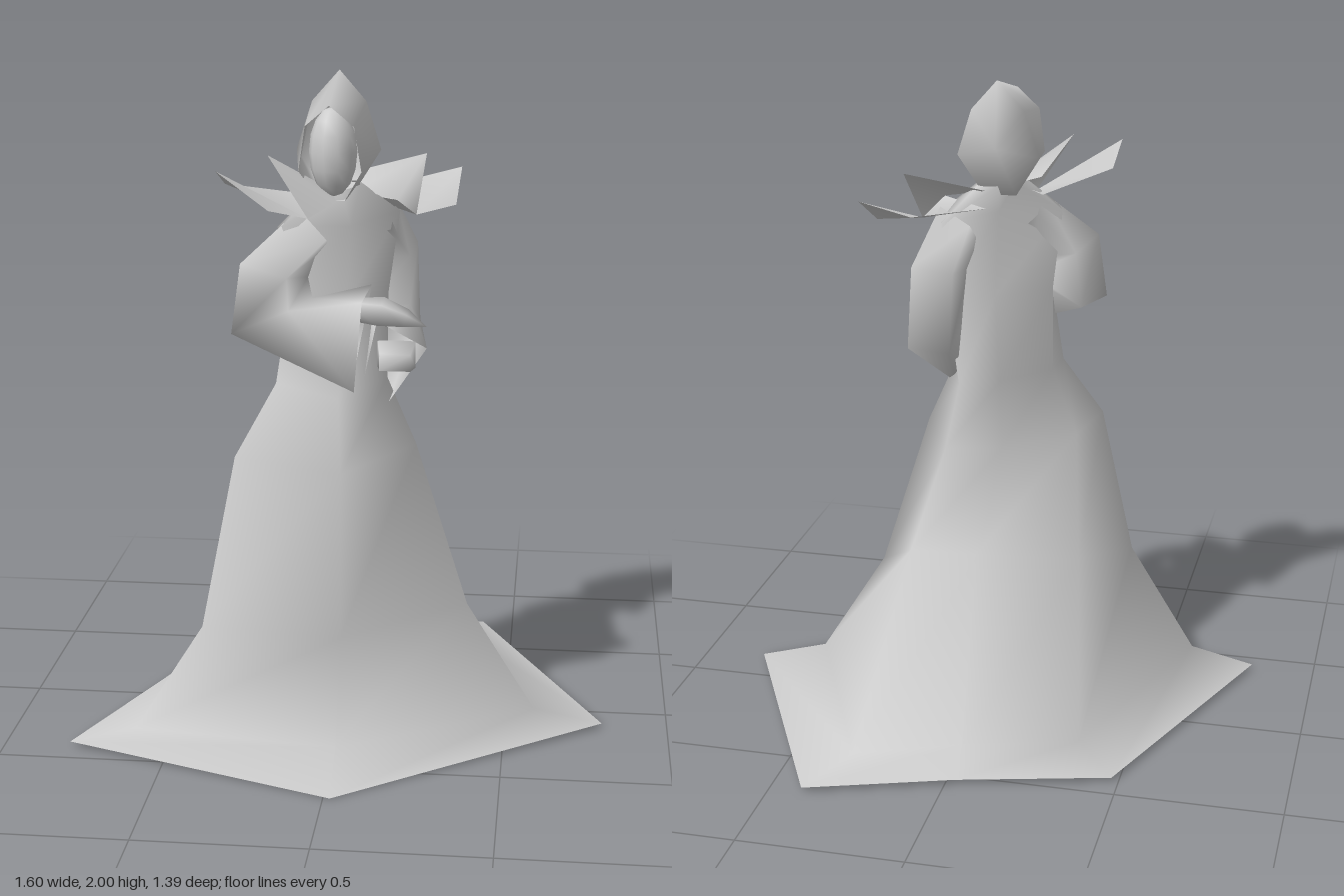
import * as THREE from 'three';

const material = new THREE.MeshStandardMaterial({ color: 0xcccccc, side: THREE.DoubleSide });
const V = (a) => new THREE.Vector3(...a);

// Smooth skin through closed rings of equal length; optional end point closes the last ring.
function loft(name, rings, tip) {
  const n = rings[0].length;
  const pos = rings.flat(2);
  const idx = [];
  for (let r = 0; r < rings.length - 1; r++) {
    for (let i = 0; i < n; i++) {
      const a = r * n + i, b = r * n + (i + 1) % n;
      idx.push(a, b, b + n, a, b + n, a + n);
    }
  }
  if (tip) {
    const last = (rings.length - 1) * n;
    pos.push(...tip);
    for (let i = 0; i < n; i++) idx.push(last + i, last + (i + 1) % n, rings.length * n);
  }
  return solid(name, pos, idx);
}

function solid(name, pos, idx) {
  const g = new THREE.BufferGeometry();
  g.setAttribute('position', new THREE.Float32BufferAttribute(pos, 3));
  g.setIndex(idx);
  g.computeVertexNormals();
  const mesh = new THREE.Mesh(g, material);
  mesh.name = name;
  return mesh;
}

// Four-cornered ring around a centre, square to dir, with side axis u.
function boxRing([c, dir, hu, hv], side) {
  const d = V(dir).normalize();
  const v = d.clone().cross(V(side)).normalize();
  const u = v.clone().cross(d);
  return [[1, 1], [-1, 1], [-1, -1], [1, -1]].map(([a, b]) =>
    V(c).addScaledVector(u, a * hu).addScaledVector(v, b * hv).toArray());
}

// Sections are box rings, or given directly by their corners.
const tube = (name, side, sections, tip) =>
  loft(name, sections.map((s) => s.corners ?? boxRing(s, side)), tip);

export function createModel() {
  const model = new THREE.Group();
  model.name = 'robedFigure';

  // Gown: six columns from the spread hem up to the neck
  model.add(loft('gown', [
    [[-.8, .015, .42], [.02, 0, .69], [.8, .015, .12], [.4, .015, -.7], [-.03, .015, -.55], [-.48, .015, -.43]],
    [[-.6, .065, .41], [.01, .05, .45], [.59, .065, .14], [.285, .065, -.55], [-.02, .065, -.42], [-.36, .065, -.32]],
    [[-.39, .4, .41], [.02, .38, .41], [.38, .4, .14], [.23, .53, -.07], [.02, .53, -.06], [-.28, .5, .05]],
    [[-.3, .9, .32], [.02, .88, .4], [.22, .9, .13], [.13, .86, -.02], [-.04, .86, .02], [-.25, .88, .14]],
    [[-.19, 1.1, .22], [0, 1.07, .27], [.13, 1.1, .11], [.07, 1.09, -.08], [-.04, 1.09, -.02], [-.18, 1.1, .11]],
    [[-.15, 1.35, .22], [.02, 1.35, .22], [.13, 1.35, .09], [.11, 1.35, -.07], [-.02, 1.35, .01], [-.17, 1.35, .14]],
    [[-.16, 1.58, .27], [.03, 1.57, .2], [.16, 1.59, .04], [.13, 1.58, -.05], [-.02, 1.6, .06], [-.18, 1.57, .23]],
    [[-.07, 1.68, .18], [0, 1.67, .19], [.05, 1.68, .13], [.04, 1.68, .06], [-.02, 1.68, .05], [-.06, 1.68, .1]],
  ]));

  // Sleeves: shoulder, upper arm, elbow, open cuff
  model.add(tube('rightSleeve', [-.3, 0, .95], [
    [[-.08, 1.56, .19], [-.75, -.65, .3], .06, .06],
    [[-.185, 1.45, .27], [-.25, -1, .1], .08, .075],
    [[-.19, 1.32, .29], [.4, -.9, .1], .085, .1],
    { corners: [[.06, 1.13, .41], [.05, 1.17, .27], [.1, 1.42, .29], [.09, 1.41, .49]] },
  ]));
  model.add(tube('leftSleeve', [1, 0, .1], [
    [[.09, 1.56, .02], [.5, -.65, -.5], .06, .06],
    [[.13, 1.45, -.07], [.1, -1, -.1], .065, .07],
    [[.135, 1.26, -.07], [0, -.9, .43], .065, .1],
    { corners: [[.255, 1.22, .23], [.11, 1.3, .24], [.06, 1.08, .17], [.13, 1.02, .14]] },
  ]));

  // Hands: flat tapering wedges reaching out of the cuffs
  model.add(tube('rightHand', [0, 0, 1], [
    [[.02, 1.36, .34], [1, -.2, 0], .03, .025],
    [[.13, 1.35, .33], [1, -.2, 0], .055, .03],
    [[.2, 1.33, .32], [1, -.3, 0], .04, .018],
  ], [.26, 1.3, .3]));
  model.add(tube('leftHand', [1, 0, 0], [
    [[.16, 1.19, .14], [0, -.1, 1], .035, .03],
    [[.17, 1.21, .27], [0, -.1, 1], .055, .04],
    [[.17, 1.2, .33], [-.1, -.1, 1], .045, .025],
  ], [.13, 1.19, .39]));

  // Hood: front rim and wider back ring, closed behind
  const hx = -.022;
  const rim = (half) => [
    [hx, ...half[0]],
    ...half.slice(1).map(([x, y, z]) => [hx + x, y, z]),
    ...half.slice(1).reverse().map(([x, y, z]) => [hx - x, y, z]),
  ];
  model.add(loft('hood', [
    rim([[1.93, .3], [.07, 1.87, .29], [.09, 1.74, .28], [.035, 1.645, .21]]),
    rim([[2, .02], [.08, 1.91, .03], [.125, 1.77, .04], [.05, 1.65, .06]]),
  ], [hx, 1.8, 0]));

  // Face set inside the hood
  const face = new THREE.Mesh(new THREE.SphereGeometry(1, 10, 8), material);
  face.name = 'face';
  face.scale.set(.07, .13, .07);
  face.position.set(hx, 1.785, .195);
  model.add(face);

  // Shoulder leaves: mirrored pair across the turned, slightly tilted body
  const leaves = new THREE.Group();
  leaves.name = 'shoulderLeaves';
  for (const s of [1, -1]) {
    // Each leaf is a fan around its first point
    const leaf = (name, pts) => {
      const idx = [];
      for (let i = 1; i < pts.length - 1; i++) idx.push(0, s > 0 ? i : i + 1, s > 0 ? i + 1 : i);
      return solid(name, pts.flatMap(([x, y, z]) => [s * x, y, z]), idx);
    };
    const side = s > 0 ? 'left' : 'right';
    const root = [.115, 0, .105], front = [.205, -.047, .092];
    leaves.add(leaf(side + 'InnerLeaf',
      [[.3, .125, .012], [.1, .055, -.105], [.05, .02, 0], root, front]));
    leaves.add(leaf(side + 'OuterLeaf',
      [front, [.354, -.02, .1], [.465, .08, -.007], [.354, .03, -.11], [.1, 0, -.105], root]));
  }
  leaves.position.set(0, 1.64, .1);
  leaves.rotation.set(0, Math.PI / 4, -.085, 'YXZ');
  model.add(leaves);

  return model;
}
